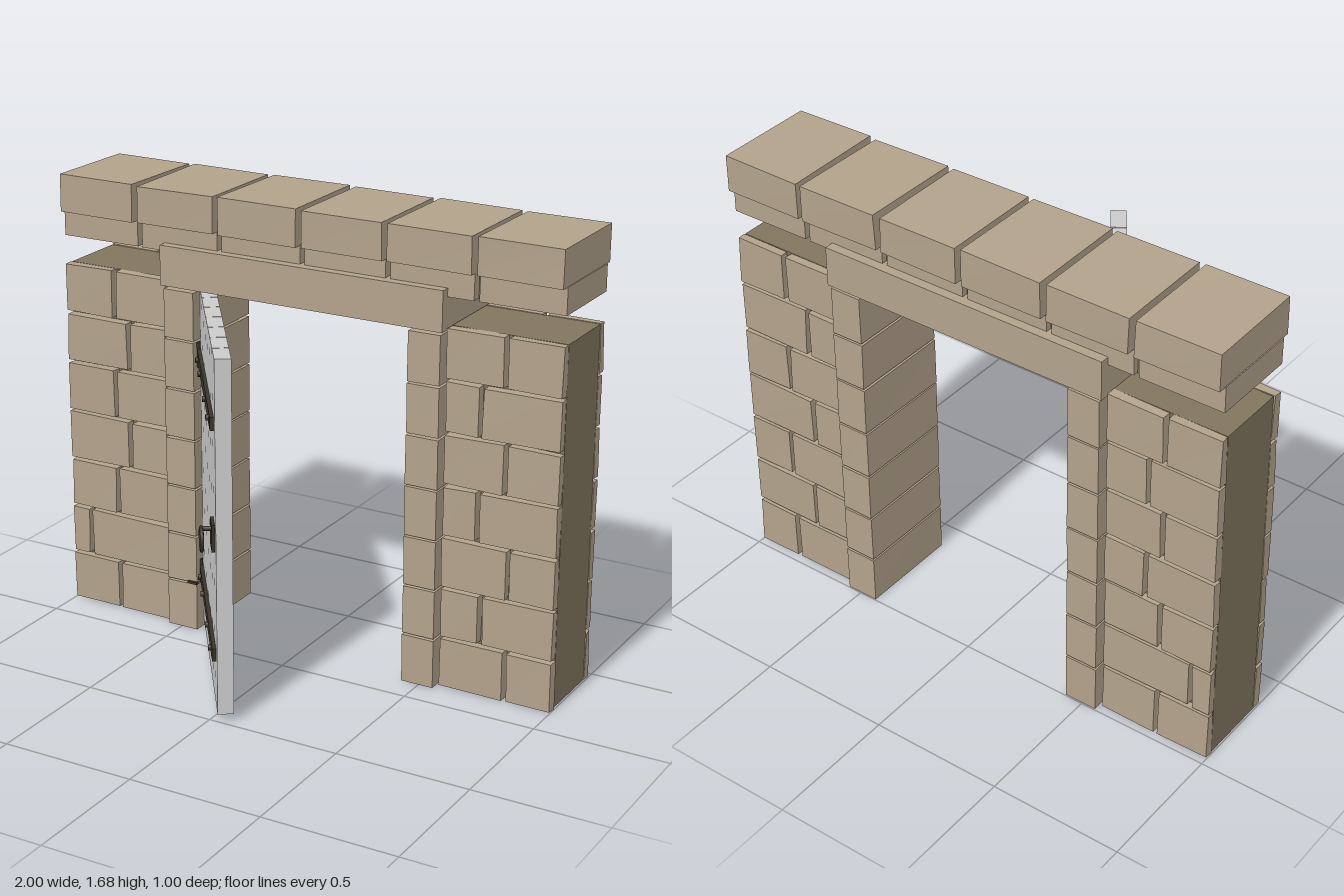
import * as THREE from 'three';

const mat = (name, color) => {
  const m = new THREE.MeshStandardMaterial({ color });
  m.name = name;
  return m;
};

export function createModel() {
  const stone = mat('stone', 0xb2a28b);
  const mortar = mat('mortar', 0x81765f);
  const wood = mat('grey wood', 0xcbcbcb);
  const iron = mat('dark iron', 0x3a3429);

  let seed = 7;
  const rand = () => (seed = (seed * 16807) % 2147483647) / 2147483647;

  const add = (parent, name, geometry, material, x = 0, y = 0, z = 0) => {
    const mesh = new THREE.Mesh(geometry, material);
    mesh.name = name;
    mesh.position.set(x, y, z);
    parent.add(mesh);
    return mesh;
  };

  // box given by its limits; rough pulls every corner slightly inward
  const block = (parent, name, material, [x0, x1], [y0, y1], [z0, z1], rough = 0) => {
    const g = new THREE.BoxGeometry(x1 - x0, y1 - y0, z1 - z0);
    if (rough) {
      const p = g.attributes.position;
      const pull = Array.from({ length: 24 }, () => 1 * rand() * rough);
      for (let i = 0; i < p.count; i++) {
        const s = [p.getX(i), p.getY(i), p.getZ(i)].map(Math.sign);
        const c = ((s[0] > 0) * 4 + (s[1] > 0) * 2 + (s[2] > 0)) * 3;
        p.setXYZ(i, p.getX(i) - s[0] * pull[c], p.getY(i) - s[1] * pull[c + 1], p.getZ(i) - s[2] * pull[c + 2]);
      }
      g.computeVertexNormals();
    }
    return add(parent, name, g, material, (x0 + x1) / 2, (y0 + y1) / 2, (z0 + z1) / 2);
  };

  const model = new THREE.Group();
  model.name = 'stoneDoorway';
  const group = (name) => {
    const g = new THREE.Group();
    g.name = name;
    model.add(g);
    return g;
  };

  // side walls: mortar core faced front and back with seven courses, plus jamb stones
  const ROWS = 7, ROW = 1.345 / ROWS;
  const splits = {
    '-1': [0.79, 0.92, 0.79, 0.73, 0.79, 0.73, 0.79],
    '1': [0.82, 0.72, 0.82, 0.70, 0.80, 0.70, 0.79],
  };
  const span = (s, a, b) => (s > 0 ? [a, b] : [-b, -a]);
  for (const s of [-1, 1]) {
    const wall = group(s > 0 ? 'leftWall' : 'rightWall');
    block(wall, 'wallCore', mortar, span(s, 0.567, 0.996), [0.004, 1.338], [-0.435, -0.172]);
    for (let r = 0; r < ROWS; r++) {
      const y = [r * ROW + (r ? 0.004 : 0), (r + 1) * ROW - 0.004];
      const cut = splits[s][r];
      for (const z of [[-0.172, -0.132], [-0.472, -0.435]]) {
        block(wall, 'wallStone', stone, span(s, 0.565, cut - 0.006), y, z, 0.005);
        block(wall, 'wallStone', stone, span(s, cut + 0.006, 1), y, z, 0.005);
      }
      const j = r * 0.189;
      block(wall, 'jambStone', stone, span(s, 0.43, 0.556), [j, j + 0.183], [-0.498, -0.106], 0.002);
    }
  }

  // lintel over the opening
  block(model, 'lintel', stone, [-0.565, 0.563], [1.328, 1.477], [-0.502, -0.102]);

  // coping: overhanging top stones on a narrower course
  const coping = group('coping');
  block(coping, 'copingCore', mortar, [-0.985, 0.985], [1.444, 1.575], [-0.445, -0.175]);
  const step = 2.017 / 6;
  for (let i = 0; i < 6; i++) {
    const x = [-1 + i * step, -1 + i * step + 0.319];
    block(coping, 'copingLowerStone', stone, x, [1.446, 1.545], [-0.468, -0.137], 0.002);
    block(coping, 'copingTopStone', stone, x, [1.54, 1.682], [-0.502, -0.106], 0.006);
  }

  // open plank door, local x runs from hinge to free edge
  const door = group('door');
  door.position.set(-0.436, 0, -0.163);
  door.rotation.y = -0.955;
  const W = 0.8125, PLANK = W / 7;
  for (let i = 0; i < 7; i++) {
    block(door, 'plank', wood, [i * PLANK + (i ? 0.002 : 0), (i + 1) * PLANK - (i < 6 ? 0.002 : 0)],
      [0.028, 1.32], [-0.057, 0]);
  }

  // strap hinges with bolts, knuckle and pintle
  for (const y of [0.232, 1.078]) {
    block(door, 'hingeStrap', iron, [0.02, 0.765], [y - 0.024, y + 0.024], [0, 0.014]);
    for (const x of [0.087, 0.24, 0.51, 0.70]) {
      add(door, 'hingeBolt', new THREE.CylinderGeometry(0.011, 0.011, 0.012, 8).rotateX(Math.PI / 2), iron, x, y, 0.018);
    }
    add(door, 'hingeKnuckle', new THREE.CylinderGeometry(0.009, 0.009, 0.094, 8), iron, 0.022, y, 0.01);
  }
  block(model, 'hingePintle', iron, [-0.465, -0.425], [0.187, 0.196], [-0.112, -0.098]);

  // ring handle on its plate
  block(door, 'handlePlate', iron, [0.69, 0.77], [0.617, 0.717], [0, 0.012]);
  add(door, 'handleStem', new THREE.CylinderGeometry(0.009, 0.009, 0.04, 8).rotateX(Math.PI / 2), iron, 0.73, 0.69, 0.026);
  add(door, 'handleRing', new THREE.TorusGeometry(0.04, 0.007, 8, 20), iron, 0.73, 0.652, 0.044);

  return model;
}
